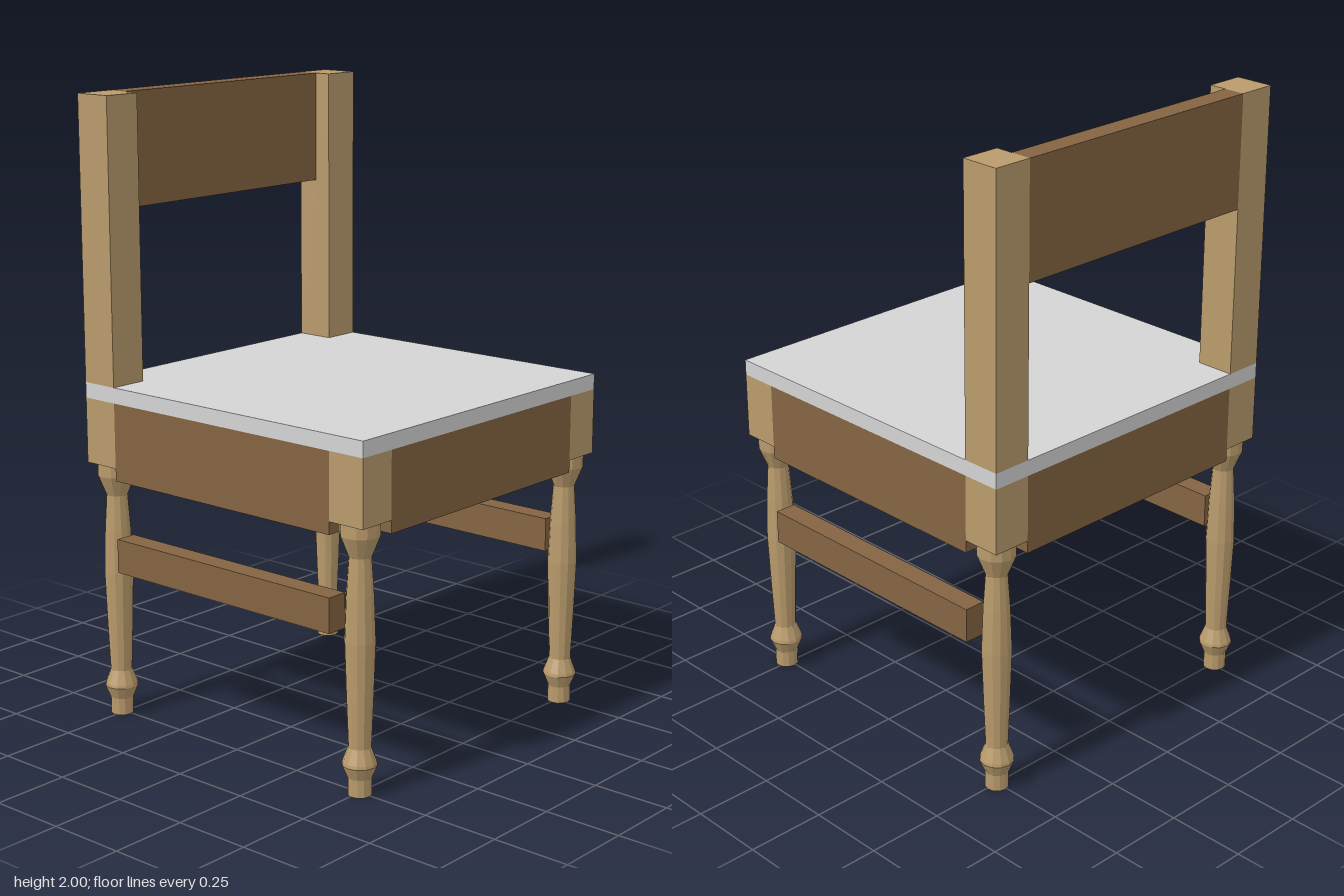
import * as THREE from 'three';

const material = (name, color) => {
  const m = new THREE.MeshStandardMaterial({ color });
  m.name = name;
  return m;
};

export function createModel() {
  const chair = new THREE.Group();
  chair.name = 'chair';

  const paleWood = material('pale wood', 0xb99b6c);
  paleWood.flatShading = true;
  const darkWood = material('dark wood', 0x846442);
  const seatGrey = material('seat grey', 0xd4d4d4);

  const R = 0.57;   // half width of the chair
  const I = 0.443;  // inner face of the corner blocks
  const T = 0.07;   // board thickness
  const C = (R + I) / 2;

  const add = (name, geometry, mat) => {
    const mesh = new THREE.Mesh(geometry, mat);
    mesh.name = name;
    chair.add(mesh);
    return mesh;
  };

  // Box given by its extents on each axis
  const box = (name, mat, [x0, x1], [y0, y1], [z0, z1]) =>
    add(name, new THREE.BoxGeometry(x1 - x0, y1 - y0, z1 - z0), mat)
      .position.set((x0 + x1) / 2, (y0 + y1) / 2, (z0 + z1) / 2);

  const span = (s, a, b) => (s > 0 ? [a, b] : [-b, -a]);

  // Turned leg profile: foot, bead, swelling shaft, collar
  const profile = [
    [0, 0], [0.037, 0], [0.037, 0.055], [0.054, 0.095], [0.052, 0.105],
    [0.035, 0.15], [0.041, 0.3], [0.047, 0.48], [0.042, 0.62],
    [0.034, 0.735], [0.06, 0.8], [0.06, 0.84],
  ].map(([r, y]) => new THREE.Vector2(r, y));
  const legGeometry = new THREE.LatheGeometry(profile, 12);

  box('seat', seatGrey, [-R, R], [1.05, 1.1], [-R, R]);

  for (const s of [-1, 1]) {
    const side = s > 0 ? 'left' : 'right';
    const end = s > 0 ? 'front' : 'back';

    // Legs with square corner blocks
    for (const f of [-1, 1]) {
      const corner = `${side}${f > 0 ? 'Front' : 'Back'}`;
      add(`${corner}Leg`, legGeometry, paleWood).position.set(s * C, 0, f * C);
      box(`${corner}Block`, paleWood, span(s, I, R), [0.84, 1.05], span(f, I, R));
    }

    // Aprons under the seat
    box(`${side}Apron`, darkWood, span(s, R - T, R), [0.8, 1.05], [-I, I]);
    box(`${end}Apron`, darkWood, [-I, I], [0.8, 1.05], span(s, R - T, R));

    // Side stretcher and back post
    box(`${side}Stretcher`, darkWood, span(s, R - T, R), [0.5, 0.61], [-I, I]);
    box(`${side}BackPost`, paleWood, span(s, I, R), [1.1, 2], [-R, -I]);
  }

  box('backrest', darkWood, [-I, I], [1.64, 2], [-R, -R + T]);

  return chair;
}
